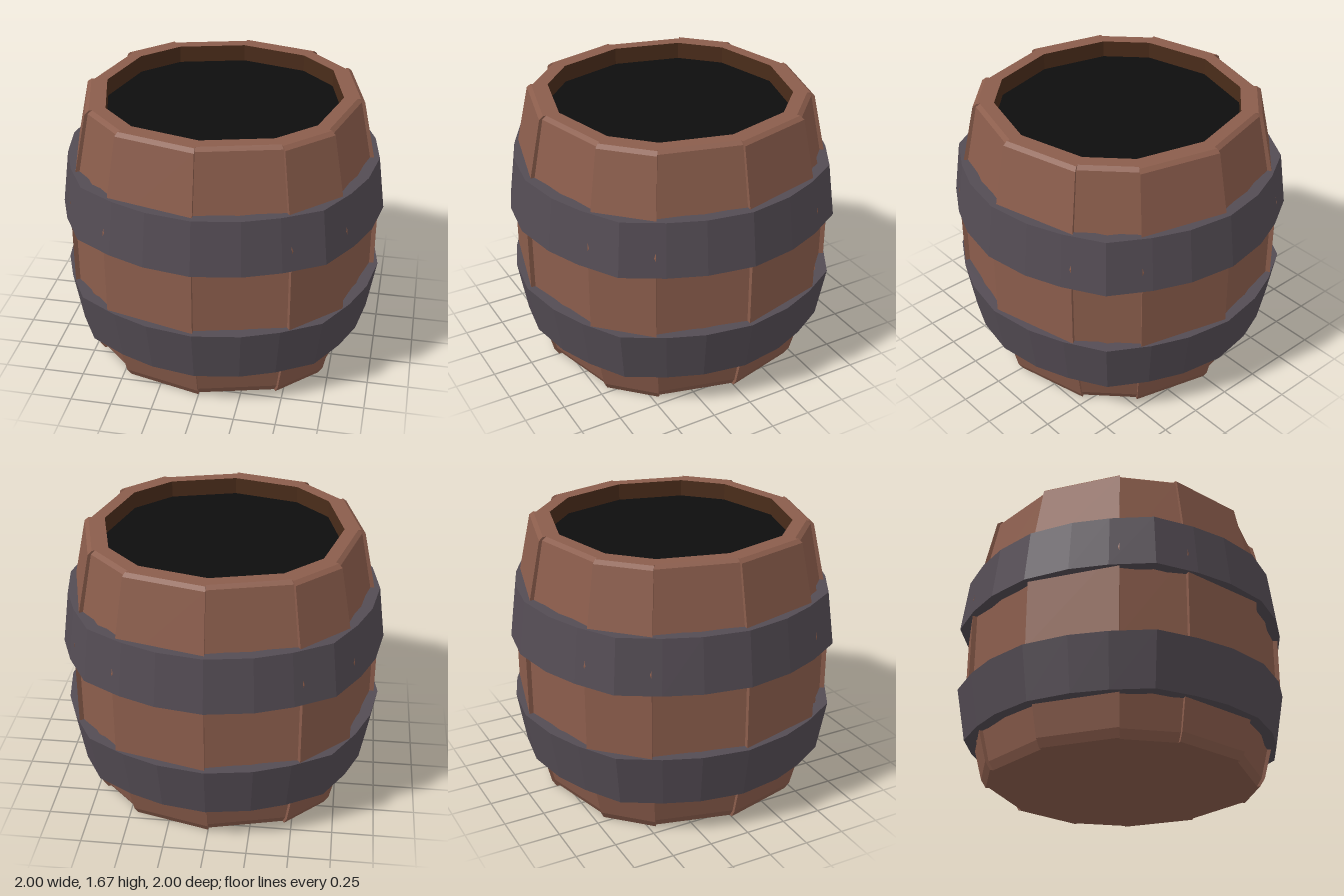
import * as THREE from 'three';

const wood = new THREE.MeshStandardMaterial({ color: 0x8b5d4c, flatShading: true });
const darkWood = new THREE.MeshStandardMaterial({ color: 0x4a2c1a, flatShading: true });
const iron = new THREE.MeshStandardMaterial({ color: 0x544c54, flatShading: true });
const black = new THREE.MeshStandardMaterial({ color: 0x0d0d0d, flatShading: true });

// Repeats one quarter of [degrees, radius factor] pairs around the full circle.
function fullCircle(quarter) {
  const list = [];
  for (let q = 0; q < 4; q++) for (const [deg, f] of quarter) list.push([deg + q * 90, f]);
  list.push([360, 1]);
  return list;
}
const staveCorners = fullCircle([[0, 1], [33.4, 1.022], [56.6, 1.022]]);
const hoopCorners = fullCircle([[0, 1], [16.5, 0.994], [30, 1], [45, 1.033], [60, 1], [73.5, 0.994]]);

function point([deg, f], [r, y]) {
  const a = THREE.MathUtils.degToRad(deg);
  return new THREE.Vector3(Math.sin(a) * r * f, y, Math.cos(a) * r * f);
}

// Adds a quad, leaving out collapsed triangles.
function quad(out, a, b, c, d) {
  for (const [p, q, r] of [[a, b, c], [a, c, d]]) {
    const area = q.clone().sub(p).cross(r.clone().sub(p)).length();
    if (area > 1e-7) for (const v of [p, q, r]) out.push(v.x, v.y, v.z);
  }
}

// Sweeps a profile of [radius, height] points through the given corners.
function sweep(out, corners, profile) {
  for (let j = 0; j < corners.length - 1; j++) {
    for (let i = 0; i < profile.length - 1; i++) {
      quad(out, point(corners[j], profile[i]), point(corners[j + 1], profile[i]),
        point(corners[j + 1], profile[i + 1]), point(corners[j], profile[i + 1]));
    }
  }
  return out;
}

function makeMesh(name, positions, material) {
  const geometry = new THREE.BufferGeometry();
  geometry.setAttribute('position', new THREE.Float32BufferAttribute(positions, 3));
  geometry.computeVertexNormals();
  const mesh = new THREE.Mesh(geometry, material);
  mesh.name = name;
  return mesh;
}

const HOLE = 0.72, TOP = 1.675, LID = 1.57;

// One stave: bulged outside, bevelled ends, flat sides.
function makeStave(index) {
  const inset = index % 2 === 0 ? 0.028 : 0;
  const outer = [[0.81, 0], [0.84, 0.05], [0.965, 0.55], [0.965, 1.09], [0.845, 1.655], [0.82, TOP]]
    .map(([r, y], i) => [r - inset * (i === 2 || i === 3 ? 1 : 0.7), y]);
  const [low, high] = [staveCorners[index], staveCorners[index + 1]];
  const out = sweep([], [low, high], [[0, 0], ...outer, [HOLE, TOP]]);
  for (let i = 0; i < outer.length - 1; i++) {
    const inner = [HOLE, outer[i][1]], innerNext = [HOLE, outer[i + 1][1]];
    quad(out, point(low, inner), point(low, outer[i]), point(low, outer[i + 1]), point(low, innerNext));
    quad(out, point(high, outer[i]), point(high, inner), point(high, innerNext), point(high, outer[i + 1]));
  }
  return makeMesh('stave', out, wood);
}

// Iron hoop with a closed, slightly conical section.
function makeHoop(name, rBottom, yBottom, rTop, yTop) {
  const profile = [[rBottom - 0.07, yBottom], [rBottom, yBottom], [rTop, yTop], [rTop - 0.07, yTop]];
  return makeMesh(name, sweep([], hoopCorners, profile), iron);
}

export function createModel() {
  const barrel = new THREE.Group();
  barrel.name = 'barrel';

  const staves = new THREE.Group();
  staves.name = 'staves';
  for (let i = 0; i < 12; i++) staves.add(makeStave(i));
  barrel.add(staves);

  // Inside of the rim and the dark contents
  barrel.add(makeMesh('innerWall', sweep([], staveCorners, [[HOLE, TOP], [HOLE, LID]]), darkWood));
  barrel.add(makeMesh('darkContents', sweep([], staveCorners, [[HOLE, LID], [0, LID]]), black));

  barrel.add(makeHoop('upperHoop', 0.998, 0.97, 0.955, 1.3));
  barrel.add(makeHoop('lowerHoop', 0.935, 0.235, 0.99, 0.56));
  return barrel;
}
